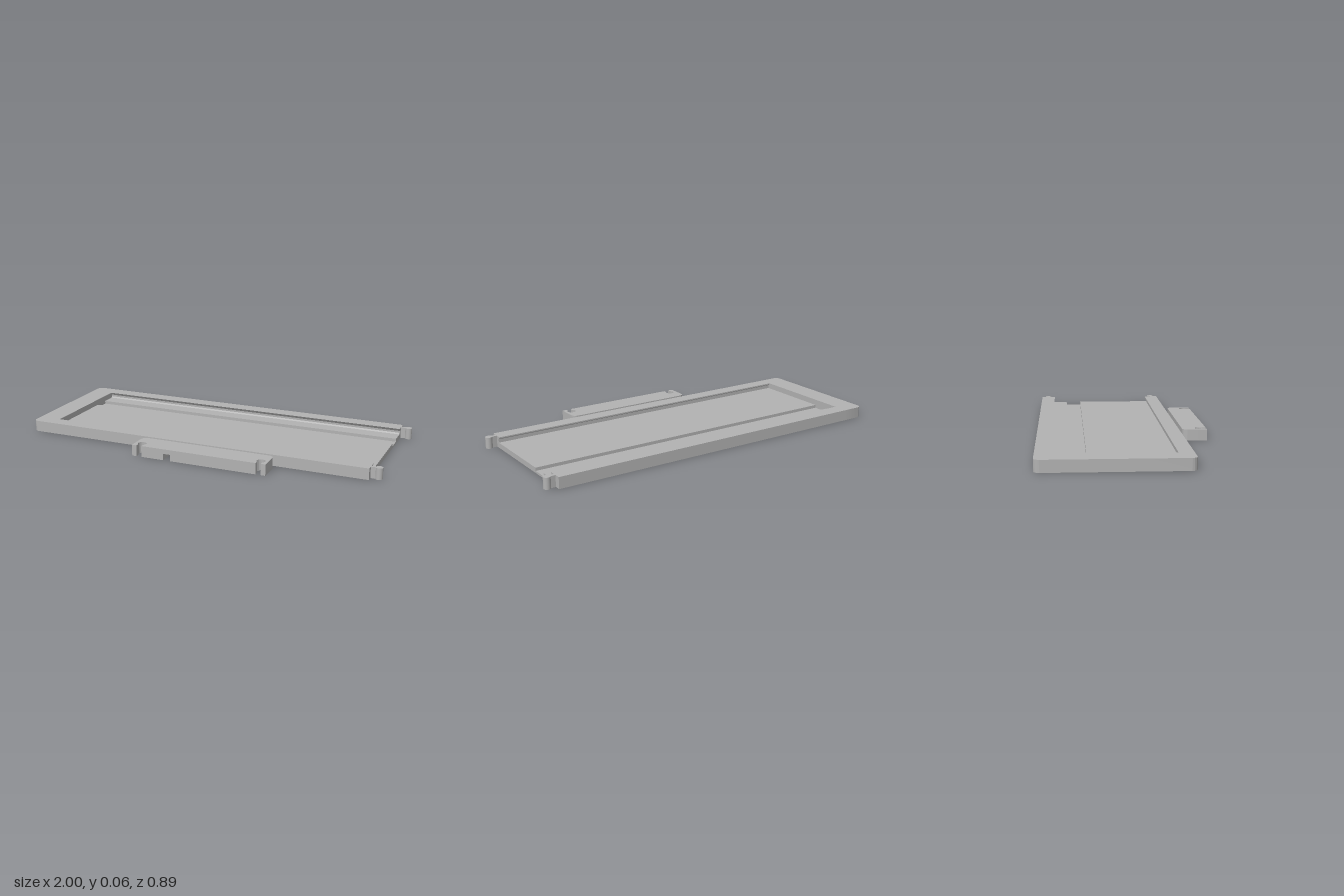
import * as THREE from 'three';
import { toCreasedNormals } from 'three/addons/utils/BufferGeometryUtils.js';

const H = 0.06; // overall thickness

export function createModel() {
  const model = new THREE.Group();
  model.name = 'slidingTray';
  const grey = new THREE.MeshStandardMaterial({ color: 0xb2b2b2 });
  grey.name = 'plain grey';

  const add = (name, geometry, parent) => {
    const mesh = new THREE.Mesh(geometry, grey);
    mesh.name = name;
    parent.add(mesh);
    return mesh;
  };
  const group = (name) => {
    const g = new THREE.Group();
    g.name = name;
    model.add(g);
    return g;
  };
  const extrude = (shape, depth) =>
    new THREE.ExtrudeGeometry(shape, { depth, bevelEnabled: false, curveSegments: 20 });
  // Plan outline drawn as (x, -z), raised to full thickness
  const plate = (shape) =>
    toCreasedNormals(extrude(shape, H).rotateX(-Math.PI / 2), 0.6);

  // Tray: closed end with rounded corners
  const tray = group('tray');
  const xEnd = -0.875, xOpen = 0.94, back = -0.447, front = 0.297, r = 0.03;
  const end = new THREE.Shape();
  end.moveTo(xEnd, -front);
  end.lineTo(xEnd, -back);
  end.lineTo(-1 + r, -back);
  end.absarc(-1 + r, -back - r, r, Math.PI / 2, Math.PI, false);
  end.lineTo(-1, -front + r);
  end.absarc(-1 + r, -front + r, r, Math.PI, Math.PI * 1.5, false);
  add('closedEnd', plate(end), tray);

  // Tray: channel cross-section in (z, y) with undercut rails and a floor groove
  const section = [
    [front, 0], [back, 0], [back, H], [-0.367, H], [-0.377, 0.046], [-0.377, 0.035],
    [-0.37, 0.028], [-0.29, 0.028], [-0.29, 0.011], [-0.202, 0.011], [-0.202, 0.028],
    [0.23, 0.028], [0.23, 0.047], [0.221, 0.053], [0.221, H], [front, H],
  ].map(([z, y]) => new THREE.Vector2(-z, y));
  const channel = extrude(new THREE.Shape(section), xOpen - xEnd);
  channel.rotateY(Math.PI / 2).translate(xEnd, 0, 0);
  add('channel', channel, tray);

  // Snap pegs on the open end
  const pegs = group('snapPegs');
  for (const z of [-0.407, 0.26]) {
    add('peg', new THREE.CylinderGeometry(0.0185, 0.0185, H, 32), pegs)
      .position.set(0.9815, H / 2, z);
    add('pegNeck', new THREE.BoxGeometry(0.036, H, 0.016), pegs)
      .position.set(0.954, H / 2, z);
  }

  // Separate clip: two halves with keyhole sockets, joined over a notch
  const clip = group('clip');
  const z0 = 0.315, z1 = 0.445, socketZ = 0.407, sr = 0.023, half = 0.014;
  const a = Math.asin(half / sr);
  const clipHalf = (name, outer, inner, socket) => {
    const s = Math.sign(inner - outer);
    const down = -Math.PI / 2;
    const shape = new THREE.Shape();
    shape.moveTo(inner, -z0);
    shape.lineTo(outer + s * r, -z0);
    shape.absarc(outer + s * r, -z0 - r, r, Math.PI / 2, s > 0 ? Math.PI : 0, s < 0);
    shape.lineTo(outer, -z1);
    shape.lineTo(socket - s * half, -z1);
    shape.absarc(socket, -socketZ, sr, down - s * a, down + s * a, s > 0);
    shape.lineTo(socket + s * half, -z1);
    shape.lineTo(inner, -z1);
    add(name, plate(shape), clip);
  };
  clipHalf('clipRightHalf', -0.29, -0.11, -0.25);
  clipHalf('clipLeftHalf', 0.455, -0.07, 0.417);
  const notchTop = 0.035;
  add('clipBridge', new THREE.BoxGeometry(0.04, H - notchTop, z1 - z0), clip)
    .position.set(-0.09, (H + notchTop) / 2, (z0 + z1) / 2);

  return model;
}
